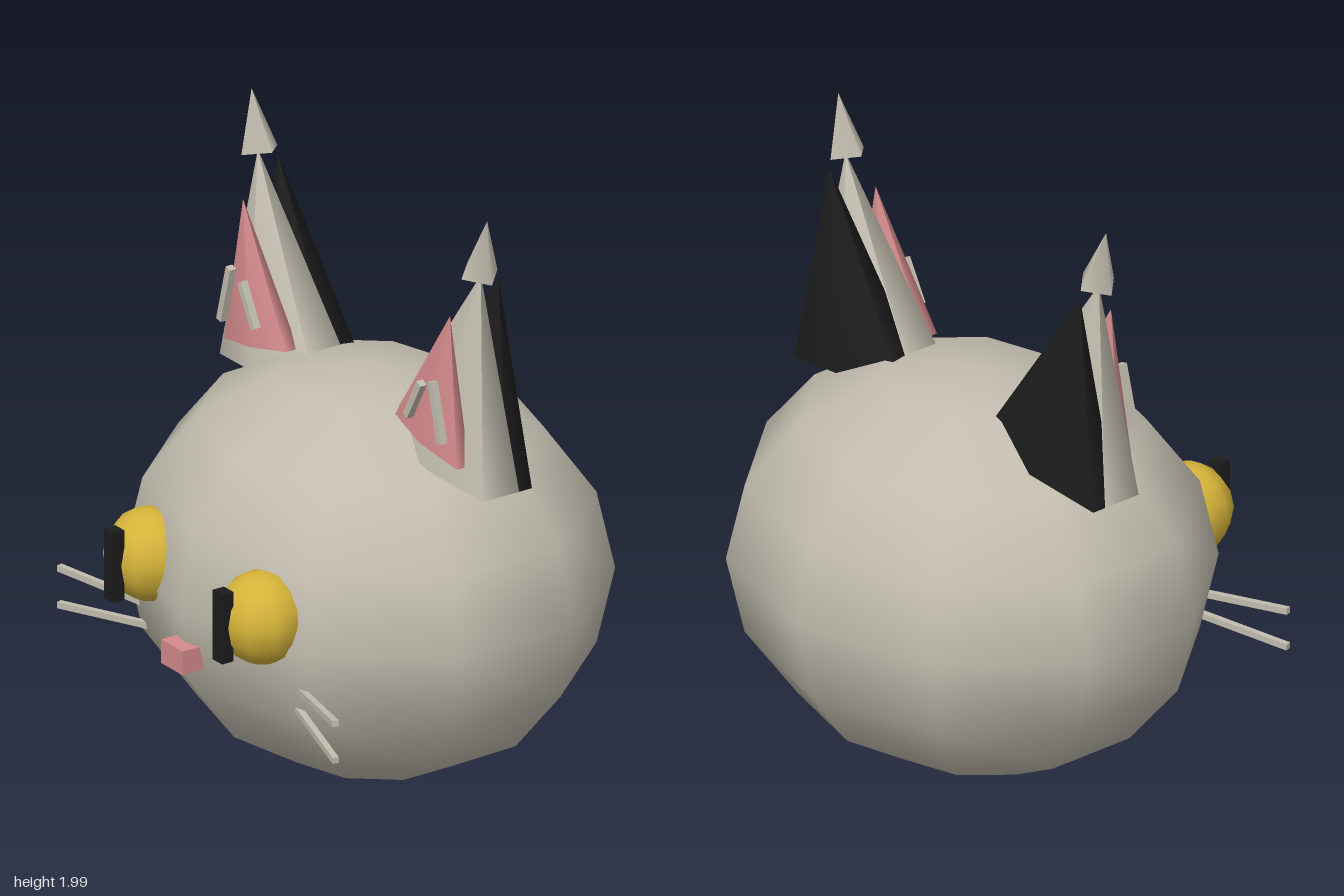
import * as THREE from 'three';

const mat = (name, color) => {
  const m = new THREE.MeshStandardMaterial({ color });
  m.name = name;
  return m;
};

export function createModel() {
  const fur = mat('grey fur', 0xc1bcae);
  const black = mat('black', 0x1c1c1c);
  const pink = mat('pink', 0xd48a8c);
  const yellow = mat('yellow', 0xd6b43a);

  const cat = new THREE.Group();
  cat.name = 'catHead';

  const add = (parent, name, geometry, material, x, y, z) => {
    const mesh = new THREE.Mesh(geometry, material);
    mesh.name = name;
    mesh.position.set(x, y, z);
    parent.add(mesh);
    return mesh;
  };

  // Low-sided ellipsoid with one edge line facing straight forward
  const ball = (rx, ry, rz) =>
    new THREE.SphereGeometry(1, 10, 8, Math.PI / 2).scale(rx, ry, rz);

  // Flattened cone standing on its base centre
  const spike = (rx, rz, h, sides) =>
    new THREE.ConeGeometry(1, h, sides).translate(0, h / 2, 0).scale(rx, 1, rz);

  // Thin square rod between two points
  const rod = (parent, name, a, b, t) => {
    const from = new THREE.Vector3(...a);
    const to = new THREE.Vector3(...b);
    const mid = from.clone().lerp(to, 0.5);
    const mesh = add(parent, name, new THREE.BoxGeometry(t, t, from.distanceTo(to)), fur, mid.x, mid.y, mid.z);
    mesh.lookAt(to);
  };

  add(cat, 'head', ball(0.815, 0.652, 0.71), fur, 0, 0.657, -0.03);
  add(cat, 'nose', new THREE.BoxGeometry(0.114, 0.078, 0.1), pink, 0, 0.52, 0.655);

  for (const s of [1, -1]) {
    const side = s > 0 ? 'left' : 'right';

    // Eye and slit pupil
    add(cat, side + 'Eye', ball(0.143, 0.147, 0.14), yellow, s * 0.295, 0.728, 0.58);
    add(cat, side + 'Pupil', new THREE.BoxGeometry(0.05, 0.23, 0.042), black, s * 0.285, 0.73, 0.717);

    // Ear: layered cones leaning outward
    const ear = new THREE.Group();
    ear.name = side + 'Ear';
    cat.add(ear);
    const layers = [
      ['outerEar', spike(0.287, 0.135, 0.66, 6), fur, 0.447, 1.163, -0.03],
      ['earBack', spike(0.287, 0.09, 0.63, 6), black, 0.447, 1.163, -0.1],
      ['innerEar', spike(0.192, 0.045, 0.455, 6), pink, 0.448, 1.235, 0.055],
      ['earTip', spike(0.067, 0.067, 0.195, 4), fur, 0.577, 1.808, -0.03],
    ];
    for (const [name, geometry, material, x, y, z] of layers) {
      add(ear, name, geometry, material, s * x, y, z).rotation.z = -s * 0.21;
    }

    // Hair tufts in the ear
    add(ear, 'outerTuft', new THREE.BoxGeometry(0.024, 0.195, 0.024), fur, s * 0.553, 1.377, 0.11)
      .rotation.z = s * 0.26;
    add(ear, 'innerTuft', new THREE.BoxGeometry(0.024, 0.15, 0.024), fur, s * 0.435, 1.38, 0.11)
      .rotation.z = -s * 0.5;

    // Whiskers
    rod(cat, side + 'UpperWhisker', [s * 0.4, 0.508, 0.515], [s * 0.725, 0.535, 0.61], 0.02);
    rod(cat, side + 'LowerWhisker', [s * 0.38, 0.44, 0.51], [s * 0.725, 0.413, 0.61], 0.02);
  }
  return cat;
}
